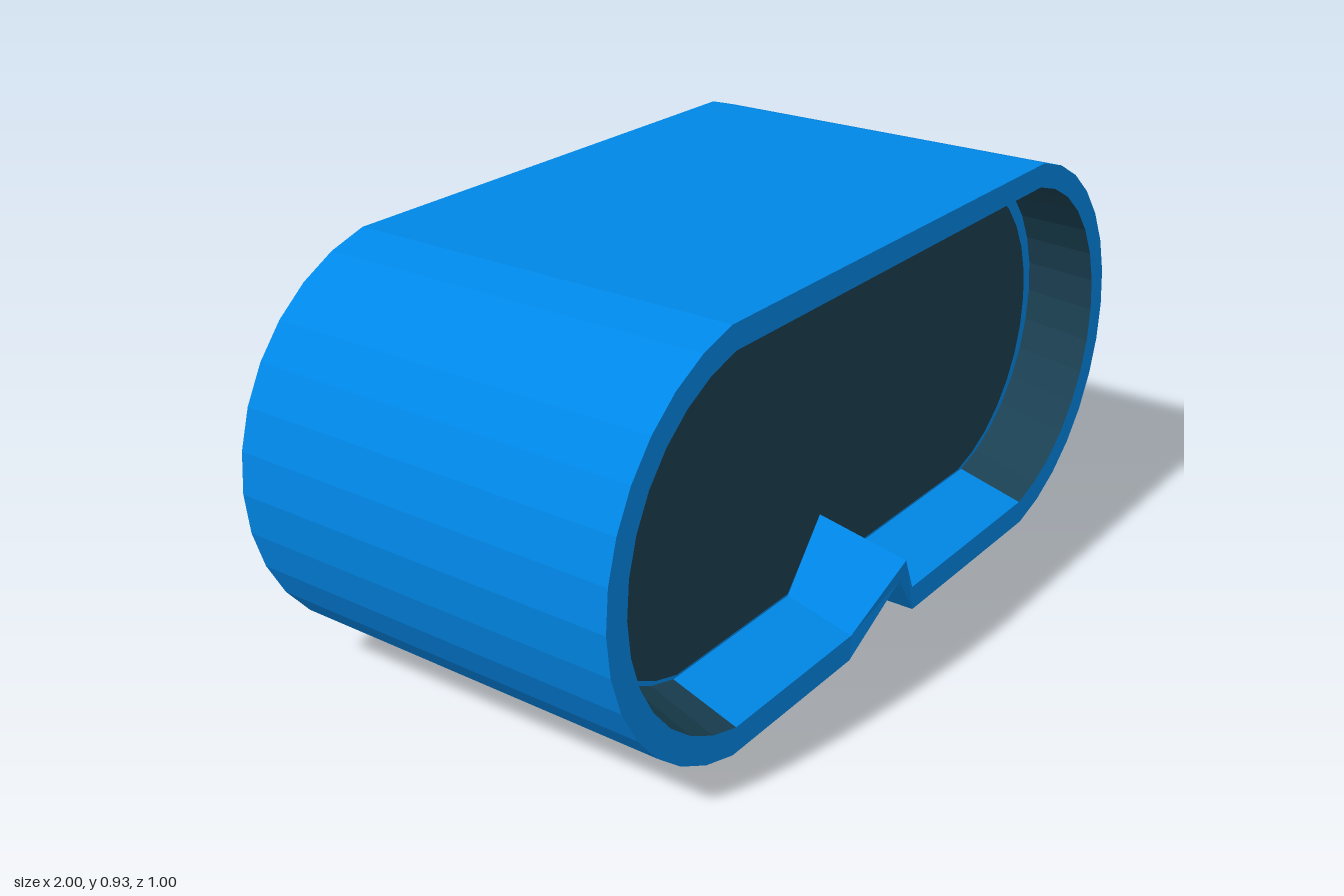
import * as THREE from 'three';

const blue = new THREE.MeshStandardMaterial({ color: 0x0089ea });
blue.name = 'casing blue';
const dark = new THREE.MeshStandardMaterial({ color: 0x1b4153 });
dark.name = 'lens dark slate';

const NOTCH_X = -0.045;
const ARC = 15; // points on each rounded end
const LENS_Z = 0.275;

// Stadium outline, anticlockwise from the front, ending with a three-point nose notch.
function outline({ left, right, cy, r, z, notch }) {
  const points = [];
  const bottom = cy - r * Math.sin(7 * Math.PI / 16);
  for (const [cx, side] of [[right, 1], [left, -1]]) {
    for (let i = 0; i < ARC; i++) {
      const a = side * (i - 7) * Math.PI / 16;
      points.push(new THREE.Vector3(cx + side * r * Math.cos(a), cy + r * Math.sin(a), z));
    }
  }
  points.push(
    new THREE.Vector3(NOTCH_X - notch.half, bottom, z),
    new THREE.Vector3(NOTCH_X, notch.y, notch.z),
    new THREE.Vector3(NOTCH_X + notch.half, bottom, z)
  );
  return points;
}

function faceted(name, points, material) {
  const geometry = new THREE.BufferGeometry().setFromPoints(points);
  geometry.computeVertexNormals();
  const mesh = new THREE.Mesh(geometry, material);
  mesh.name = name;
  return mesh;
}

// Band of quads joining two outlines, limited to the segments that pass the test.
function band(name, a, b, material, test = () => true) {
  const points = [];
  a.forEach((p, i) => {
    if (!test(i)) return;
    const j = (i + 1) % a.length;
    points.push(p, b[i], b[j], p, b[j], a[j]);
  });
  return faceted(name, points, material);
}

// Flat cap fanned from a point above the notch.
function cap(name, loop, material, facesBack) {
  const centre = new THREE.Vector3(NOTCH_X, 0.47, loop[0].z);
  const points = [];
  loop.forEach((p, i) => {
    const q = loop[(i + 1) % loop.length];
    points.push(centre, ...(facesBack ? [q, p] : [p, q]));
  });
  return faceted(name, points, material);
}

export function createModel() {
  const group = new THREE.Group();
  group.name = 'goggles';

  // The nose notch is cut into the front and runs out flat at the back
  const shell = { left: -0.526, right: 0.526, cy: 0.465, r: 0.474 };
  const back = outline({ ...shell, z: -0.5, notch: { half: 0.135, y: 0, z: -0.5 } });
  const front = outline({ ...shell, z: 0.445, notch: { half: 0.135, y: 0.15, z: 0.485 } });
  const opening = outline({
    left: -0.525, right: 0.525, cy: 0.4675, r: 0.4154, z: 0.445,
    notch: { half: 0.13, y: 0.205, z: 0.5 }
  });
  const recess = outline({
    left: -0.512, right: 0.537, cy: 0.486, r: 0.393, z: LENS_Z,
    notch: { half: 0.125, y: 0.25, z: LENS_Z }
  });
  const pane = outline({
    left: -0.503, right: 0.523, cy: 0.475, r: 0.377, z: LENS_Z,
    notch: { half: 0.125, y: 0.25, z: LENS_Z }
  });

  // Segments on the rounded ends, as opposed to the flats and nose
  const onEnd = i => i < ARC - 1 || (i >= ARC && i < 2 * ARC - 1);

  group.add(
    band('casing', front, back, blue),
    cap('backPanel', back, blue, true),
    band('frontRim', opening, front, blue),
    band('recessFlats', recess, opening, blue, i => !onEnd(i)),
    band('recessEnds', recess, opening, dark, onEnd),
    band('lensLedge', pane, recess, blue),
    cap('lens', pane, dark, false)
  );
  return group;
}
